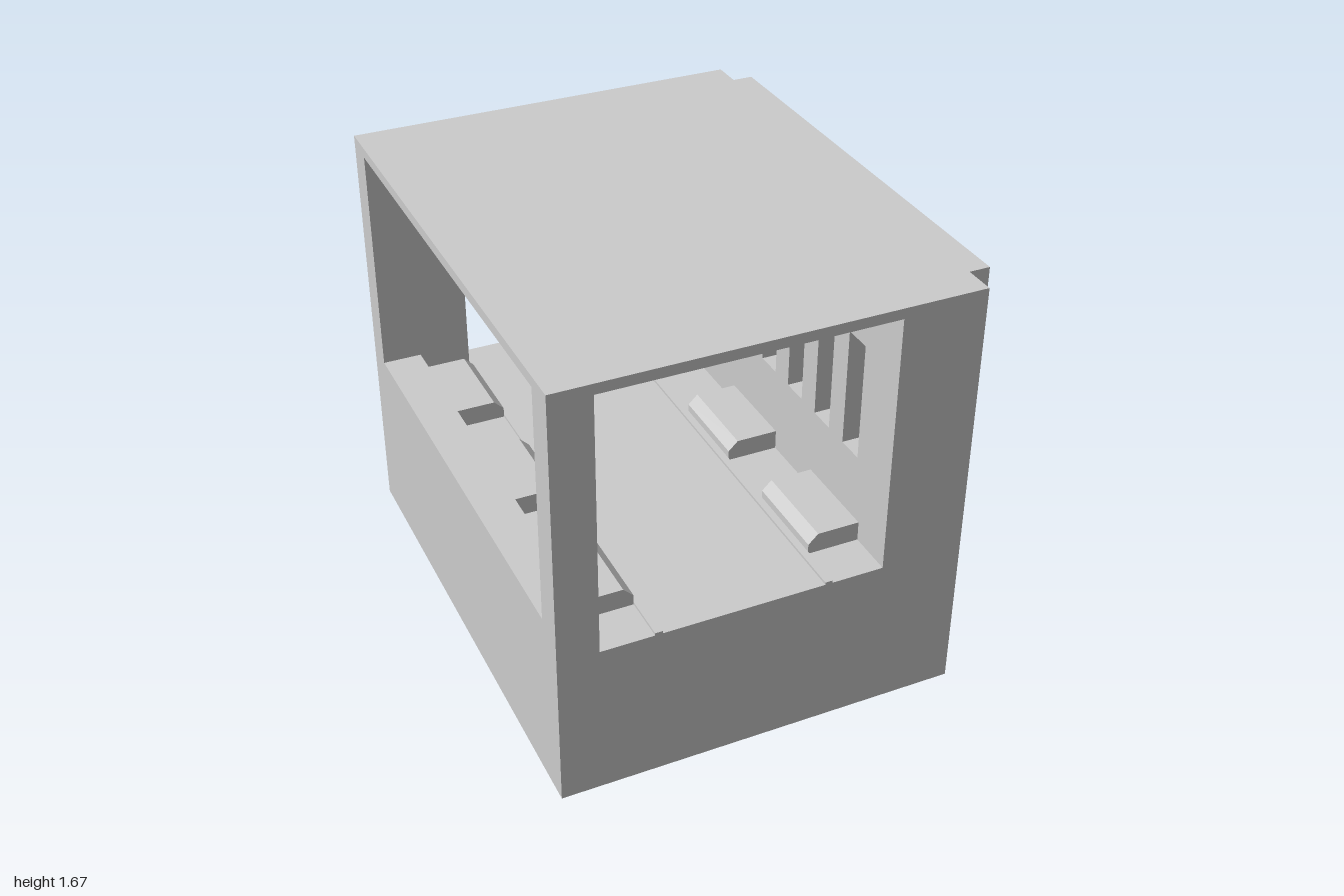
import * as THREE from 'three';

const material = new THREE.MeshStandardMaterial({ color: 0xcccccc, flatShading: true });

const W = 0.82;        // half width
const MAIN = 0.74;     // right edge of the main block, inside the slotted panel
const H = 1.675;       // total height
const FLOOR = 0.615;
const CEIL = 1.635;
const IN = 0.88;       // half depth of the interior
const X0 = -0.665, X1 = 0.42;      // interior side walls
const MID = (X0 + X1) / 2;

function add(parent, name, geometry) {
  const mesh = new THREE.Mesh(geometry, material);
  mesh.name = name;
  parent.add(mesh);
  return mesh;
}

function box(parent, name, x0, x1, y0, y1, z0, z1) {
  const g = new THREE.BoxGeometry(x1 - x0, y1 - y0, z1 - z0);
  g.translate((x0 + x1) / 2, (y0 + y1) / 2, (z0 + z1) / 2);
  return add(parent, name, g);
}

function rect(Type, x0, x1, y0, y1) {
  return new Type([[x0, y0], [x1, y0], [x1, y1], [x0, y1]].map(p => new THREE.Vector2(...p)));
}

// Flat wall with rectangular openings, extruded along z from 0
function wall(x0, x1, y0, y1, holes, depth) {
  const shape = rect(THREE.Shape, x0, x1, y0, y1);
  shape.holes = holes.map(h => rect(THREE.Path, ...h));
  return new THREE.ExtrudeGeometry(shape, { depth, bevelEnabled: false });
}

export function createModel() {
  const model = new THREE.Group();
  model.name = 'booth';

  // Solid base, roof and low sill under the open side
  box(model, 'base', -W, X1, 0, FLOOR, -IN, IN);
  box(model, 'roof', -W, X1, CEIL, H, -IN, IN);
  box(model, 'openSideSill', -W, X0, FLOOR, 0.72, -IN, IN);

  // Front wall with a wide doorway, back wall with a smaller window
  add(model, 'frontWall', wall(-W, MAIN, 0, H, [[X0, X1, FLOOR, CEIL]], 1 - IN))
    .position.z = IN;
  add(model, 'backWall', wall(-W, MAIN, 0, H, [[-0.46, 0.22, FLOOR, 1.18]], 1 - IN))
    .position.z = -1;

  // Thick side wall pierced by eight upright slots
  const slots = [];
  for (let i = 0; i < 8; i++) {
    const z = (i - 3.5) * 0.2075;
    slots.push([z - 0.054, z + 0.054, 0.95, 1.41]);
  }
  const side = wall(-IN, IN, 0, H, slots, W - X1);
  side.rotateY(Math.PI / 2);
  add(model, 'slottedWall', side).position.x = X1;

  // Three chamfered seats and a floor rail along each side
  const seatShape = new THREE.Shape([
    [-0.5425, FLOOR], [-0.34, FLOOR], [-0.34, 0.655], [-0.378, 0.692], [-0.5425, 0.692],
  ].map(p => new THREE.Vector2(...p)));
  for (const s of [1, -1]) {
    const row = new THREE.Group();
    row.name = s > 0 ? 'rightSeatRow' : 'leftSeatRow';
    row.position.x = MID;
    row.rotation.y = s > 0 ? 0 : Math.PI;
    for (const z of [-0.64, 0, 0.64]) {
      const g = new THREE.ExtrudeGeometry(seatShape, { depth: 0.36, bevelEnabled: false });
      add(row, 'seat', g).position.z = z - 0.18;
    }
    box(row, 'floorRail', -0.34, -0.312, FLOOR, FLOOR + 0.01, -1, 1);
    model.add(row);
  }
  return model;
}
